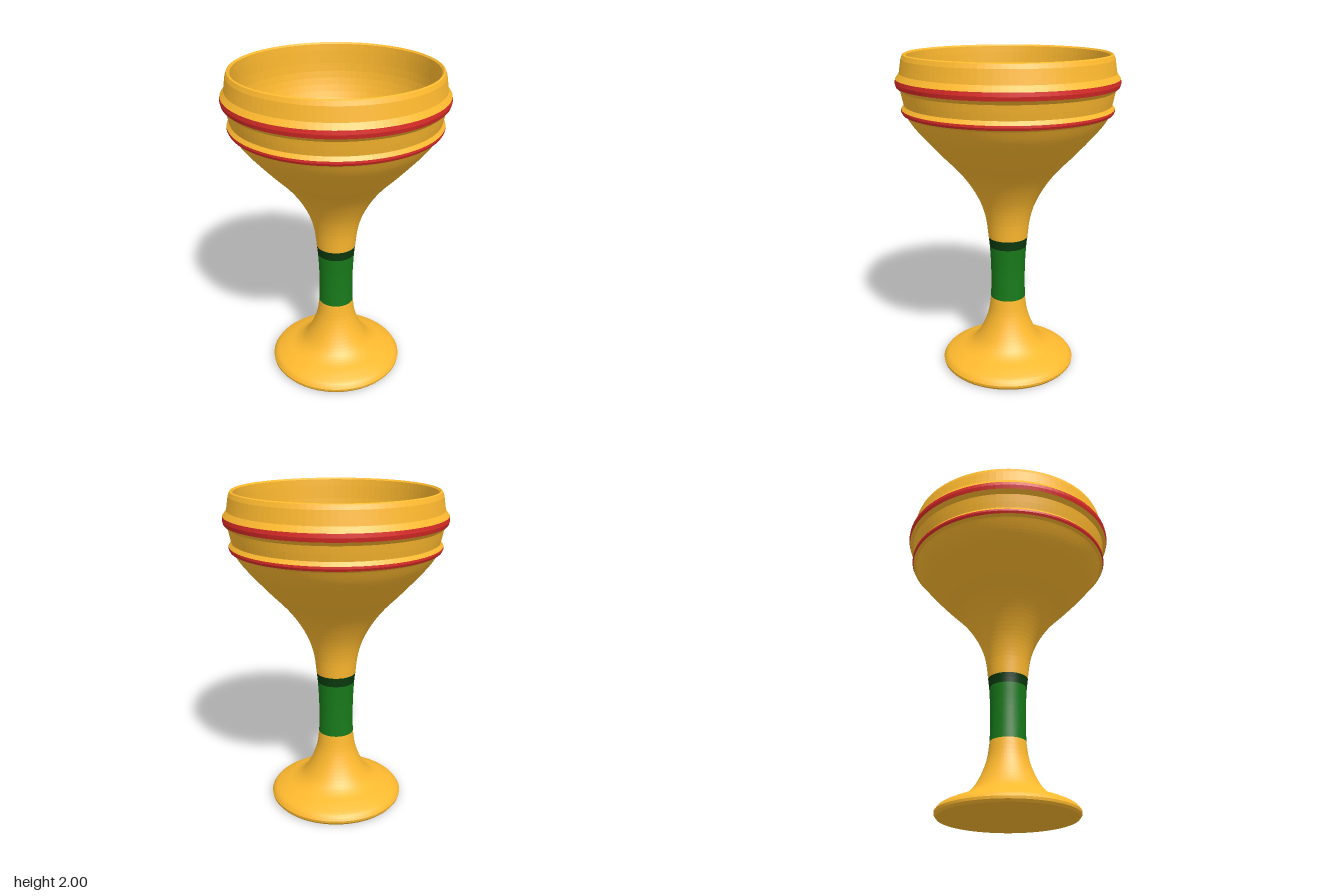
import * as THREE from 'three';

const SEGMENTS = 96;
const gold = new THREE.MeshStandardMaterial({ color: 0xffba2f, flatShading: true });
const red = new THREE.MeshStandardMaterial({ color: 0xdc2c28, flatShading: true });
const green = new THREE.MeshStandardMaterial({ color: 0x187a1a, flatShading: true });
const darkGreen = new THREE.MeshStandardMaterial({ color: 0x0b3a0e, flatShading: true });

const vectors = (pairs) => pairs.map(([r, y]) => new THREE.Vector2(r, y));
const smooth = (pairs, n) => new THREE.SplineCurve(vectors(pairs)).getPoints(n);

export function createModel() {
  const goblet = new THREE.Group();
  goblet.name = 'goblet';

  // Every part is a turned surface, profile running from underside to outside to inside
  const turn = (name, points, material) => {
    const mesh = new THREE.Mesh(new THREE.LatheGeometry(points, SEGMENTS), material);
    mesh.name = name;
    goblet.add(mesh);
  };

  // Foot with flat underside, flaring up into the stem
  turn('foot', [
    ...vectors([[0, 0], [0.41, 0], [0.422, 0.015]]),
    ...smooth([[0.424, 0.03], [0.4, 0.06], [0.34, 0.09], [0.265, 0.12], [0.21, 0.165],
      [0.16, 0.25], [0.125, 0.35], [0.11, 0.455]], 28),
  ], gold);

  // Stem grip with a darker collar
  turn('stemGrip', smooth([[0.11, 0.455], [0.108, 0.56], [0.109, 0.68], [0.116, 0.8]], 10), green);
  turn('stemCollar', vectors([[0.116, 0.8], [0.119, 0.83], [0.123, 0.86]]), darkGreen);

  // Flared outside of the bowl, steepening towards the rings
  turn('bowl', smooth([[0.123, 0.86], [0.138, 0.98], [0.172, 1.09], [0.232, 1.2], [0.308, 1.3],
    [0.405, 1.4], [0.497, 1.5], [0.565, 1.58], [0.608, 1.645]], 36), gold);

  // Lower ring, wall and upper ring, with red bands on the widest faces
  turn('lowerRingUnderside', vectors([[0.608, 1.645], [0.627, 1.656]]), gold);
  turn('lowerRedBand', vectors([[0.627, 1.656], [0.634, 1.67], [0.633, 1.683]]), red);
  turn('wall', vectors([[0.633, 1.683], [0.617, 1.705], [0.626, 1.745], [0.635, 1.79],
    [0.658, 1.812]]), gold);
  turn('upperRedBand', vectors([[0.658, 1.812], [0.664, 1.835], [0.661, 1.858]]), red);

  // Lip over the rim, then the deep rounded inside of the bowl
  turn('lipAndInside', [
    ...vectors([[0.661, 1.858], [0.638, 1.89], [0.633, 1.92], [0.625, 1.97], [0.615, 1.995],
      [0.606, 2], [0.596, 1.99]]),
    ...smooth([[0.594, 1.95], [0.586, 1.8], [0.548, 1.66], [0.485, 1.54], [0.4, 1.435],
      [0.28, 1.335], [0.14, 1.272], [0, 1.25]], 24),
  ], gold);

  return goblet;
}
